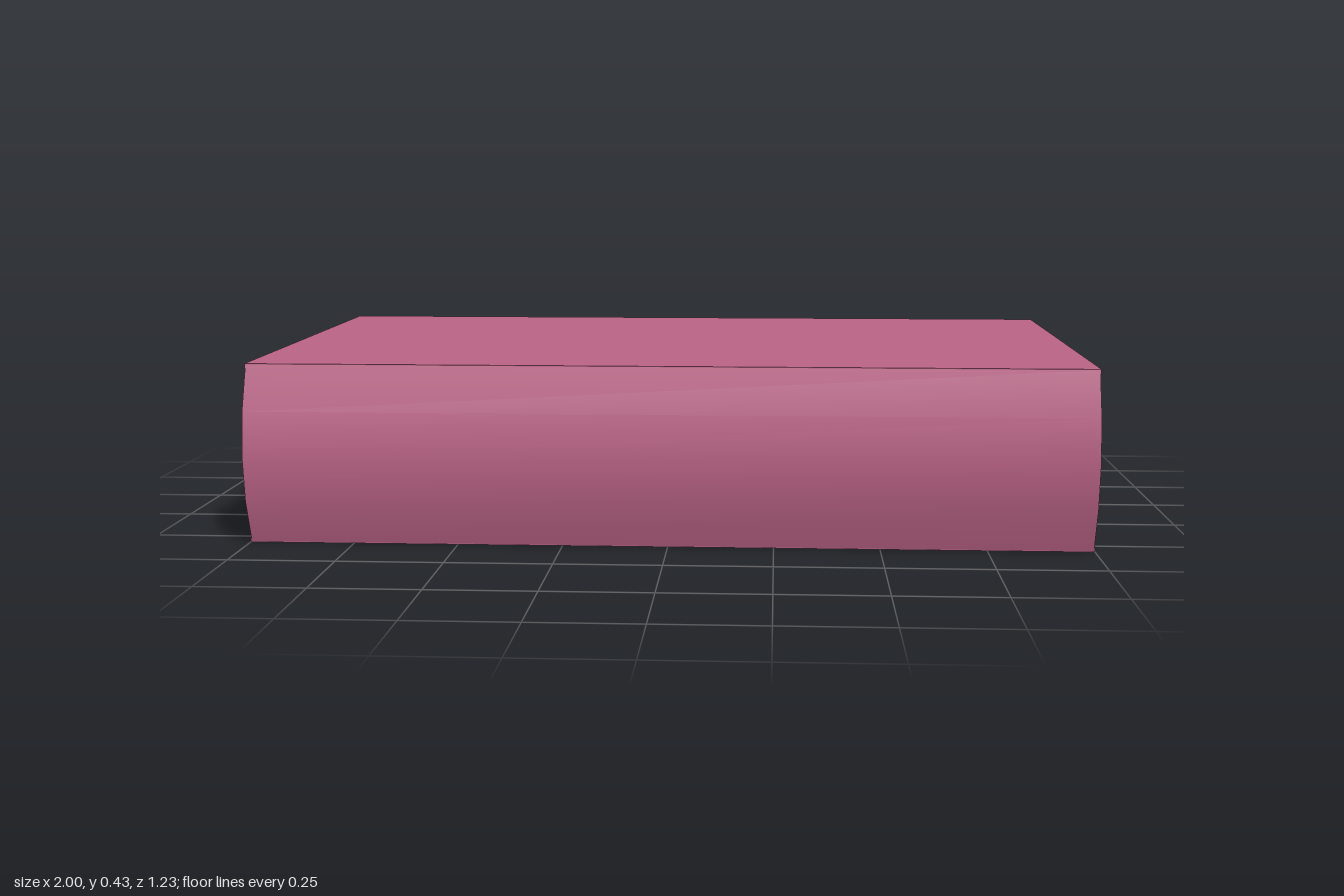
import * as THREE from 'three';
import { toCreasedNormals } from 'three/addons/utils/BufferGeometryUtils.js';

const cover = new THREE.MeshStandardMaterial({ color: 0xb86284 });
const paper = new THREE.MeshStandardMaterial({ color: 0xcccccc });

// Extrude a closed [z, y] outline along x, centred on x = 0
function bar(name, outline, length, material) {
  const shape = new THREE.Shape(outline.map(([z, y]) => new THREE.Vector2(-z, y)));
  const geo = new THREE.ExtrudeGeometry(shape, { depth: length, bevelEnabled: false });
  geo.translate(0, 0, -length / 2).rotateY(Math.PI / 2);
  const mesh = new THREE.Mesh(toCreasedNormals(geo, 0.6), material);
  mesh.name = name;
  return mesh;
}

// Shallow curve from y0 up to y1, bulging towards +z by rise
function arc(z, y0, y1, rise, steps = 4) {
  return Array.from({ length: steps + 1 }, (_, i) => {
    const t = i / steps;
    return [z + rise * 4 * t * (1 - t), y0 + (y1 - y0) * t];
  });
}

export function createModel() {
  const book = new THREE.Group();
  book.name = 'book';
  const height = 0.43, board = 0.012;

  // Two flat cover boards
  for (const [name, y] of [['bottomCover', board / 2], ['topCover', height - board / 2]]) {
    const mesh = new THREE.Mesh(new THREE.BoxGeometry(2, board, 1.18), cover);
    mesh.name = name;
    mesh.position.set(0, y, -0.027);
    book.add(mesh);
  }

  // Thin rounded spine, standing clear of the pages
  const outer = arc(0.563, 0.002, height - 0.002, 0.054);
  const inner = arc(0.555, 0.006, height - 0.006, 0.05).reverse();
  book.add(bar('spine', [...outer, ...inner], 1.995, cover));

  // Page block: rounded at the spine, hollowed at the fore-edge
  const back = arc(0.562, board, height - board, 0.025);
  const foreEdge = arc(-0.6, board, height - board, 0.042).reverse();
  book.add(bar('pages', [...back, ...foreEdge], 1.93, paper));

  return book;
}
